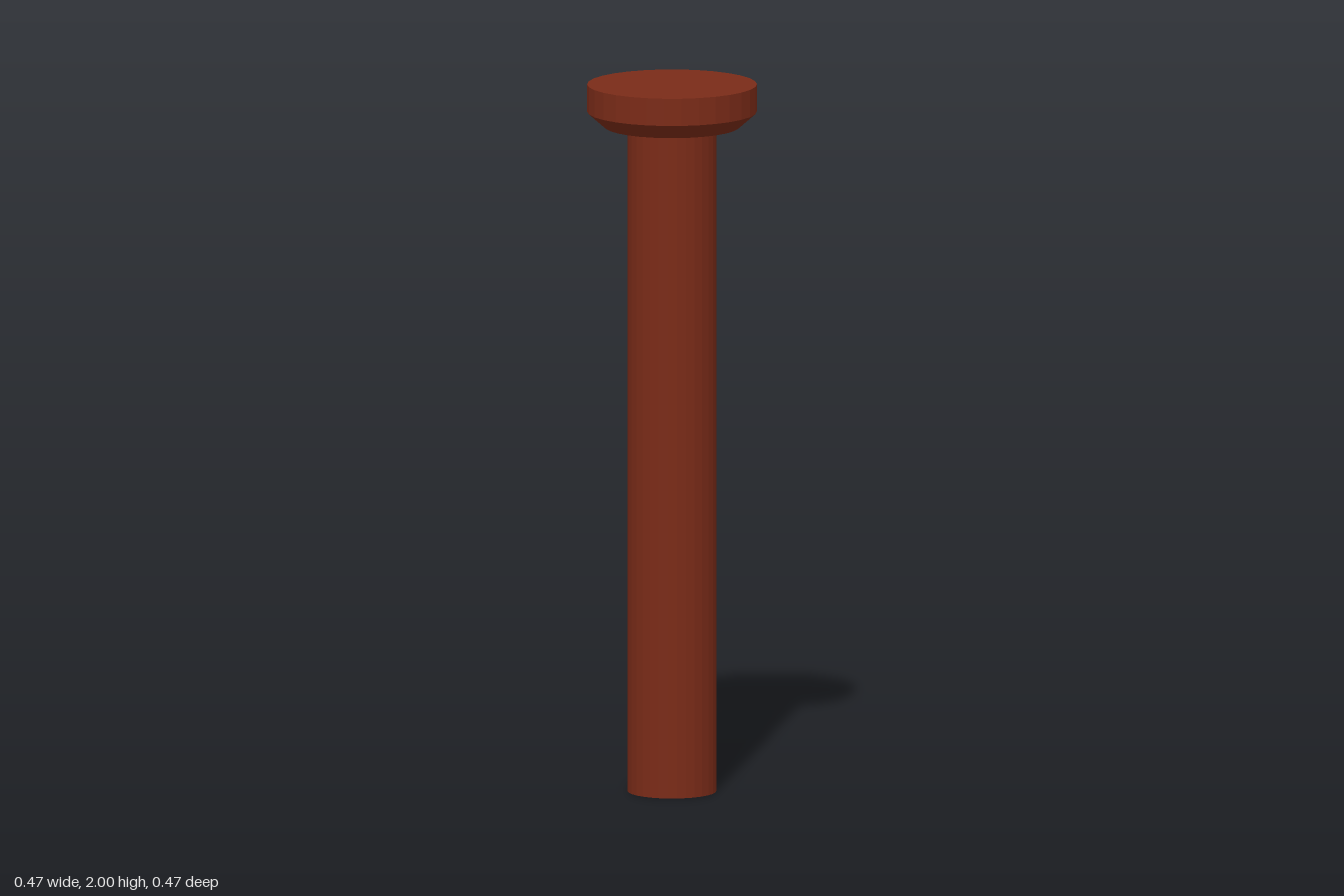
import * as THREE from 'three';

const SIDES = 30;

export function createModel() {
  const group = new THREE.Group();
  group.name = 'rivet';
  const material = new THREE.MeshStandardMaterial({ color: 0x7a2b18, flatShading: true });

  // Adds a round section between two heights
  const addSection = (name, rTop, rBottom, yBottom, yTop, open = false) => {
    const geometry = new THREE.CylinderGeometry(rTop, rBottom, yTop - yBottom, SIDES, 1, open);
    geometry.translate(0, (yBottom + yTop) / 2, 0);
    const mesh = new THREE.Mesh(geometry, material);
    mesh.name = name;
    group.add(mesh);
  };

  // Long straight shaft
  addSection('shaft', 0.124, 0.124, 0, 1.88);

  // Flat head with a bevelled underside, as one closed profile
  const profile = [[0, 1.88], [0.188, 1.88], [0.237, 1.923], [0.237, 2], [0, 2]]
    .map(([r, y]) => new THREE.Vector2(r, y));
  const head = new THREE.Mesh(new THREE.LatheGeometry(profile, SIDES), material);
  head.name = 'head';
  group.add(head);

  return group;
}
